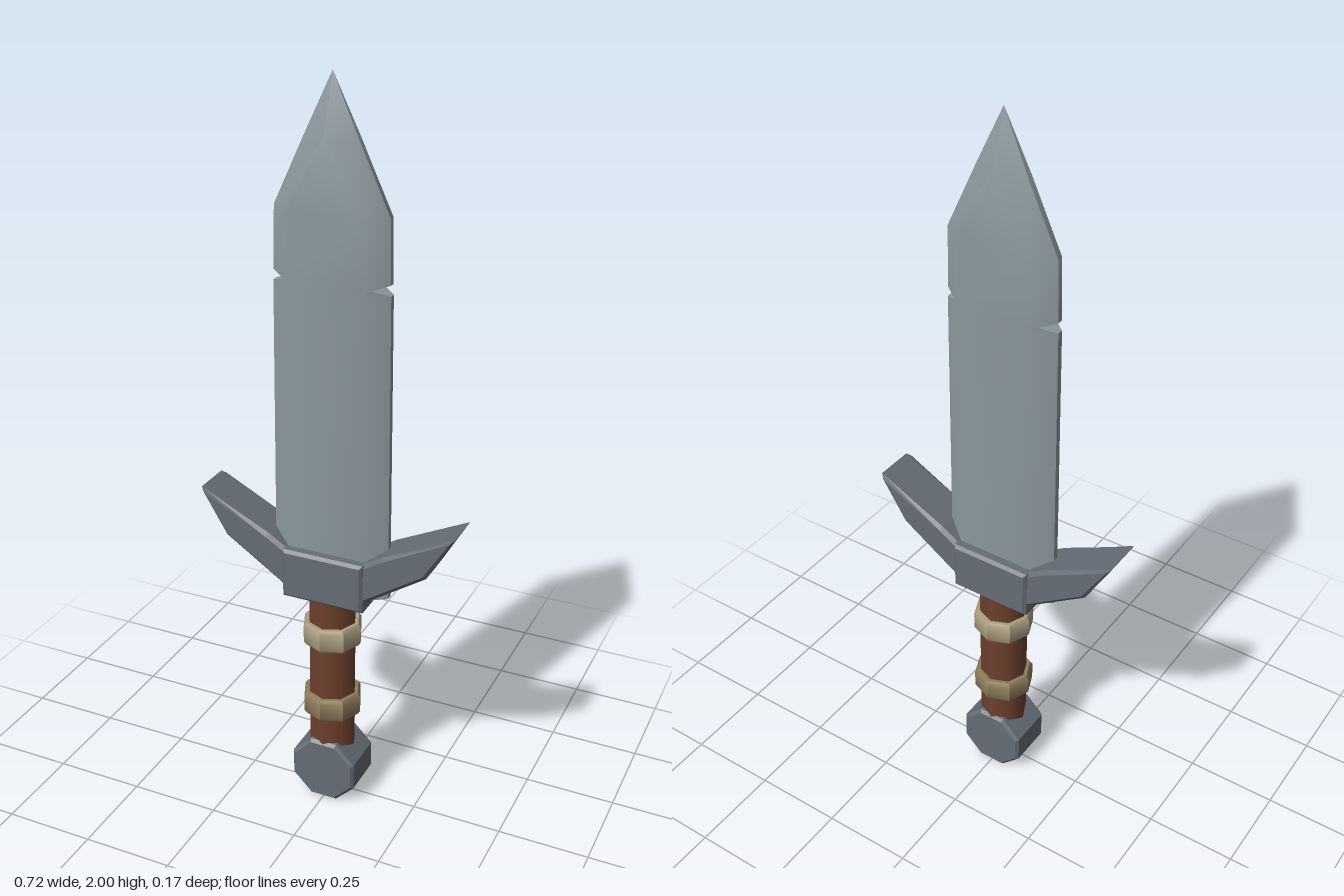
import * as THREE from 'three';
import { toCreasedNormals } from 'three/addons/utils/BufferGeometryUtils.js';

const paint = (name, color) => {
  const m = new THREE.MeshStandardMaterial({ color });
  m.name = name;
  return m;
};

// Lofts eight-sided cross-sections: [y, edge x, edge z, flat x, flat z]
function bladeGeometry(rows) {
  const pos = [], idx = [];
  for (const [y, ex, ez, fx, fz] of rows) {
    const ring = [[ex, ez], [ex, -ez], [fx, -fz], [-fx, -fz], [-ex, -ez], [-ex, ez], [-fx, fz], [fx, fz]];
    for (const [x, z] of ring) pos.push(x, y, z);
  }
  for (let r = 0; r < rows.length - 1; r++) {
    for (let i = 0; i < 8; i++) {
      const a = r * 8 + i, b = r * 8 + (i + 1) % 8;
      idx.push(a, b, b + 8, a, b + 8, a + 8);
    }
  }
  for (let i = 1; i < 7; i++) idx.push(0, i + 1, i); // bottom cap
  const g = new THREE.BufferGeometry();
  g.setAttribute('position', new THREE.Float32BufferAttribute(pos, 3));
  g.setIndex(idx);
  return toCreasedNormals(g, 0.65);
}

// Plate centred on z = 0 with a single chamfer; the points are the inset outline
function plate(points, halfDepth, bevel) {
  const shape = new THREE.Shape(points.map(([x, y]) => new THREE.Vector2(x, y)));
  const depth = 2 * (halfDepth - bevel);
  return new THREE.ExtrudeGeometry(shape, {
    depth, bevelEnabled: true, bevelSize: bevel, bevelThickness: bevel, bevelSegments: 1,
  }).translate(0, 0, -depth / 2);
}

export function createModel() {
  const steel = paint('blade steel', 0x8b989f);
  const iron = paint('dark iron', 0x656d76);
  const leather = paint('brown leather', 0x6e412e);
  const lightWrap = paint('light wrap', 0xab9d80);
  const darkWrap = paint('dark wrap', 0x8d7b5b);

  const model = new THREE.Group();
  model.name = 'shortSword';
  const add = (name, geometry, material) => {
    const mesh = new THREE.Mesh(geometry, material);
    mesh.name = name;
    model.add(mesh);
    return mesh;
  };

  // Bevelled blade with a nick in both edges
  add('blade', bladeGeometry([
    [0.655, 0.163, 0.008, 0.108, 0.044],
    [1.485, 0.157, 0.008, 0.105, 0.043],
    [1.5, 0.115, 0.036, 0.105, 0.043],
    [1.512, 0.156, 0.008, 0.105, 0.043],
    [1.675, 0.152, 0.008, 0.1, 0.043],
    [1.85, 0.07, 0.008, 0.003, 0.043],
    [2.0, 0, 0, 0, 0],
  ]), steel);

  // Guard block and its two swept arms
  add('guardBlock', plate([[-0.107, 0.638], [0.107, 0.638], [0.107, 0.762], [-0.107, 0.762]], 0.073, 0.008), iron);
  for (const [name, s] of [['leftGuardArm', 1], ['rightGuardArm', -1]]) {
    const outline = [[0.08, 0.655], [0.115, 0.668], [0.278, 0.776], [0.348, 0.887], [0.165, 0.792], [0.11, 0.758], [0.08, 0.755]];
    add(name, plate(outline.map(([x, y]) => [s * x, y]), 0.064, 0.01), iron);
  }

  // Eight-sided grip
  add('grip', new THREE.CylinderGeometry(0.066, 0.066, 0.48, 8).translate(0, 0.4, 0), leather);

  // Chamfered wraps around the grip
  for (const [name, y, material] of [['upperWrap', 0.518, lightWrap], ['lowerWrap', 0.296, darkWrap]]) {
    const profile = [[0.06, -0.034], [0.076, -0.034], [0.083, -0.024], [0.083, 0.024], [0.076, 0.034], [0.06, 0.034]]
      .map(([r, h]) => new THREE.Vector2(r, h));
    add(name, toCreasedNormals(new THREE.LatheGeometry(profile, 8), 0.6), material).position.y = y;
  }

  // Octagonal pommel facing front and back
  const octagon = Array.from({ length: 8 }, (_, i) => {
    const a = (i + 0.5) * Math.PI / 4;
    return [0.091 * Math.cos(a), 0.092 + 0.091 * Math.sin(a)];
  });
  add('pommel', plate(octagon, 0.068, 0.008), iron);

  return model;
}
